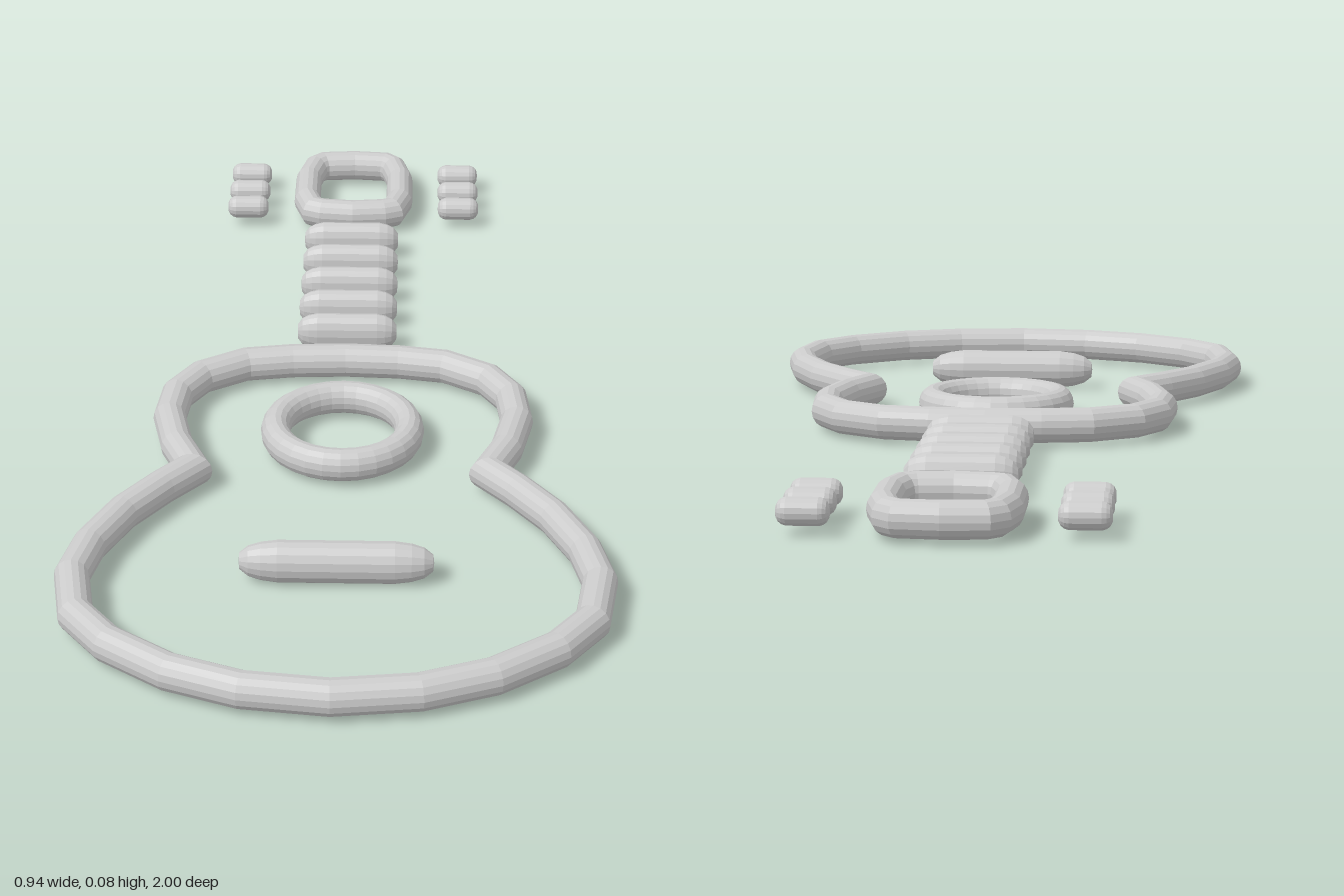
import * as THREE from 'three';

const MID = 0.0385; // height of the plane the whole model lies in
const material = new THREE.MeshStandardMaterial({ color: 0xcccccc, flatShading: true });

// Closed outline from its right half [x, z] (first and last points on the axis)
function mirrorLoop(half) {
  const left = half.slice(1, -1).reverse().map(([x, z]) => [-x, z]);
  return [...half, ...left].map(([x, z]) => new THREE.Vector2(x, z));
}

// Sweep an elliptical section round a closed outline with mitred joints
function loopTube(points, rFlat, rUp, sides = 16) {
  const n = points.length, pos = [], idx = [];
  for (let i = 0; i < n; i++) {
    const p = points[i];
    const a = p.clone().sub(points[(i + n - 1) % n]).normalize();
    const b = points[(i + 1) % n].clone().sub(p).normalize();
    const t = a.clone().add(b).normalize();
    const miter = 1 / Math.max(0.6, t.dot(b));
    for (let j = 0; j < sides; j++) {
      const ang = (j / sides) * Math.PI * 2;
      const out = Math.cos(ang) * rFlat * miter;
      pos.push(p.x + t.y * out, Math.sin(ang) * rUp, p.y - t.x * out);
      const i2 = (i + 1) % n, j2 = (j + 1) % sides;
      const q = [i * sides + j, i * sides + j2, i2 * sides + j2, i2 * sides + j];
      idx.push(q[0], q[1], q[2], q[0], q[2], q[3]);
    }
  }
  const g = new THREE.BufferGeometry();
  g.setAttribute('position', new THREE.Float32BufferAttribute(pos, 3));
  g.setIndex(idx);
  g.computeVertexNormals();
  return g;
}

// Bar along x with tapered, rounded ends
function barGeometry(halfLength, rUp, rFlat) {
  const end = [[0, 1], [0.4, 0.99], [0.72, 0.9], [0.9, 0.77], [1, 0.6]];
  const profile = [
    ...end.map(([r, l]) => new THREE.Vector2(r, -l)),
    ...end.slice().reverse().map(([r, l]) => new THREE.Vector2(r, l)),
  ];
  const g = new THREE.LatheGeometry(profile, 16);
  g.rotateZ(Math.PI / 2);
  g.scale(halfLength, rUp, rFlat);
  return g;
}

export function createModel() {
  const model = new THREE.Group();
  model.name = 'guitar';
  const add = (name, geometry, x = 0, z = 0) => {
    const mesh = new THREE.Mesh(geometry, material);
    mesh.name = name;
    mesh.position.set(x, MID, z);
    model.add(mesh);
  };

  // Body outline: upper bout, pinched waist, wide lower bout
  add('bodyOutline', loopTube(mirrorLoop([
    [0, -0.113], [0.1, -0.108], [0.187, -0.093], [0.267, -0.042], [0.307, 0.026],
    [0.315, 0.11], [0.294, 0.21], [0.26, 0.29], [0.31, 0.35], [0.37, 0.435],
    [0.418, 0.54], [0.438, 0.635], [0.42, 0.75], [0.36, 0.83], [0.257, 0.905],
    [0.14, 0.95], [0, 0.967],
  ]), 0.0295, 0.032));

  // Sound hole ring
  const ring = new THREE.TorusGeometry(0.121, 0.0265, 16, 28);
  ring.rotateX(Math.PI / 2);
  ring.scale(1, 1.15, 1);
  add('soundHole', ring, 0, 0.147);

  // Bridge
  add('bridge', barGeometry(0.164, 0.0375, 0.032), 0, 0.582);

  // Frets standing in for the neck
  const fret = barGeometry(0.095, 0.0375, 0.025);
  [-0.225, -0.322, -0.42, -0.518, -0.617].forEach((z) => add('fret', fret, 0, z));

  // Headstock frame
  add('headstock', loopTube(mirrorLoop([
    [0, -0.973], [0.066, -0.967], [0.083, -0.95], [0.096, -0.895],
    [0.096, -0.795], [0.082, -0.748], [0.062, -0.739], [0, -0.732],
  ]), 0.027, 0.031));

  // Tuning pegs, three each side
  const peg = barGeometry(0.042, 0.023, 0.022);
  for (const side of [-1, 1]) {
    [-0.766, -0.842, -0.924].forEach((z) => add('tuningPeg', peg, side * 0.218, z));
  }
  return model;
}
